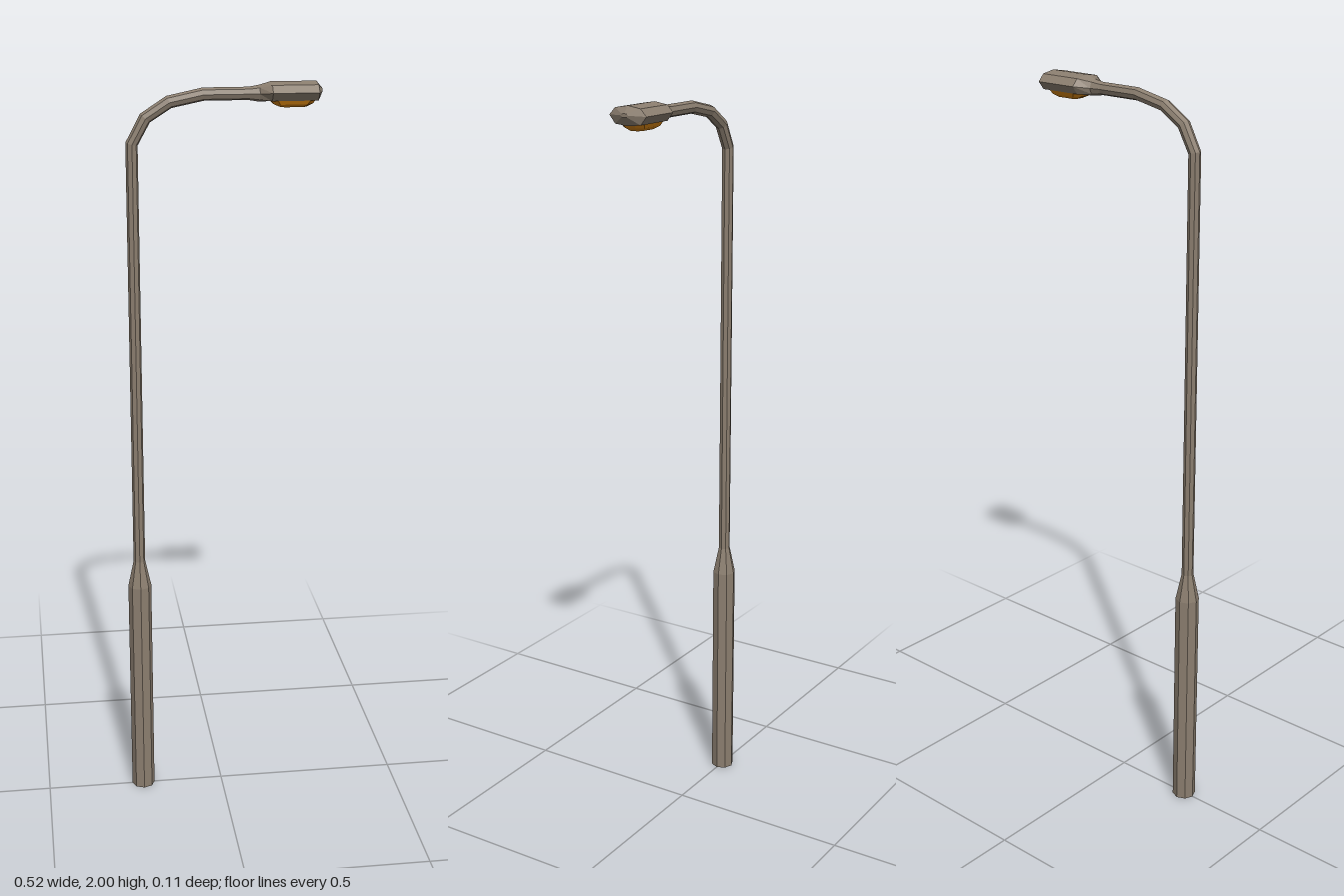
import * as THREE from 'three';

// Faceted skin over rings of points; rings run counter-clockwise about the direction of travel
function loft(rings) {
  const pos = [];
  const tri = (a, b, c) => pos.push(...a, ...b, ...c);
  const n = rings[0].length;
  for (let i = 0; i < rings.length - 1; i++) {
    for (let j = 0; j < n; j++) {
      const k = (j + 1) % n;
      const a = rings[i][j], b = rings[i][k], c = rings[i + 1][k], d = rings[i + 1][j];
      tri(a, b, c);
      tri(a, c, d);
    }
  }
  const first = rings[0], last = rings[rings.length - 1];
  for (let j = 1; j < n - 1; j++) {
    tri(first[0], first[j + 1], first[j]);
    tri(last[0], last[j], last[j + 1]);
  }
  const g = new THREE.BufferGeometry();
  g.setAttribute('position', new THREE.Float32BufferAttribute(pos, 3));
  g.computeVertexNormals();
  return g;
}

// Octagonal ring in the plane across a path that bends in x and y; tilt 0 = straight up
function pipeRing([x, y, r, tilt]) {
  const a = THREE.MathUtils.degToRad(tilt);
  return Array.from({ length: 8 }, (_, i) => {
    const t = (i / 8) * Math.PI * 2;
    const u = r * Math.cos(t);
    return [x - u * Math.cos(a), y + u * Math.sin(a), r * Math.sin(t)];
  });
}

export function createModel() {
  const metal = new THREE.MeshStandardMaterial({ color: 0x8c7f70 });
  metal.name = 'warm grey metal';
  const amber = new THREE.MeshStandardMaterial({ color: 0xd08010 });
  amber.name = 'amber lens';

  const group = new THREE.Group();
  group.name = 'streetLamp';
  const add = (name, rings, material) => {
    const mesh = new THREE.Mesh(loft(rings), material);
    mesh.name = name;
    group.add(mesh);
  };

  // Thick base sleeve with tapered collar
  const px = -0.228;
  add('base', [[px, 0, 0.032, 0], [px, 0.63, 0.032, 0], [px, 0.705, 0.016, 0]].map(pipeRing), metal);

  // Slim pole bending over into the arm
  add('poleAndArm', [
    [px, 0.69, 0.016, 0],
    [px, 1.85, 0.016, 14],
    [-0.193, 1.914, 0.0165, 42],
    [-0.132, 1.953, 0.0165, 66],
    [-0.045, 1.971, 0.0165, 84],
    [0.1, 1.971, 0.0165, 90],
  ].map(pipeRing), metal);

  // Lamp housing: neck, flare, body and blunt nose
  const section = [[0, 2.0], [0.037, 1.994], [0.054, 1.976], [0.037, 1.955],
    [0, 1.951], [-0.037, 1.955], [-0.054, 1.976], [-0.037, 1.994]];
  const bodyRing = (x, s) => section.map(([z, y]) => [x, 1.978 + (y - 1.978) * s, z * s]);
  add('lampHousing', [
    pipeRing([0.07, 1.971, 0.0165, 90]),
    pipeRing([0.097, 1.971, 0.021, 90]),
    bodyRing(0.125, 1),
    bodyRing(0.243, 1),
    bodyRing(0.258, 0.2),
  ], metal);

  // Lens bulging below the housing
  const lensRing = (y, cx, hx, hz) => [[1, 0.5], [0.7, 1], [-0.7, 1], [-1, 0.5],
    [-1, -0.5], [-0.7, -1], [0.7, -1], [1, -0.5]].map(([x, z]) => [cx + x * hx, y, z * hz]);
  add('lens', [
    lensRing(1.957, 0.182, 0.06, 0.036),
    lensRing(1.945, 0.182, 0.05, 0.03),
    lensRing(1.937, 0.184, 0.034, 0.018),
  ], amber);

  return group;
}
